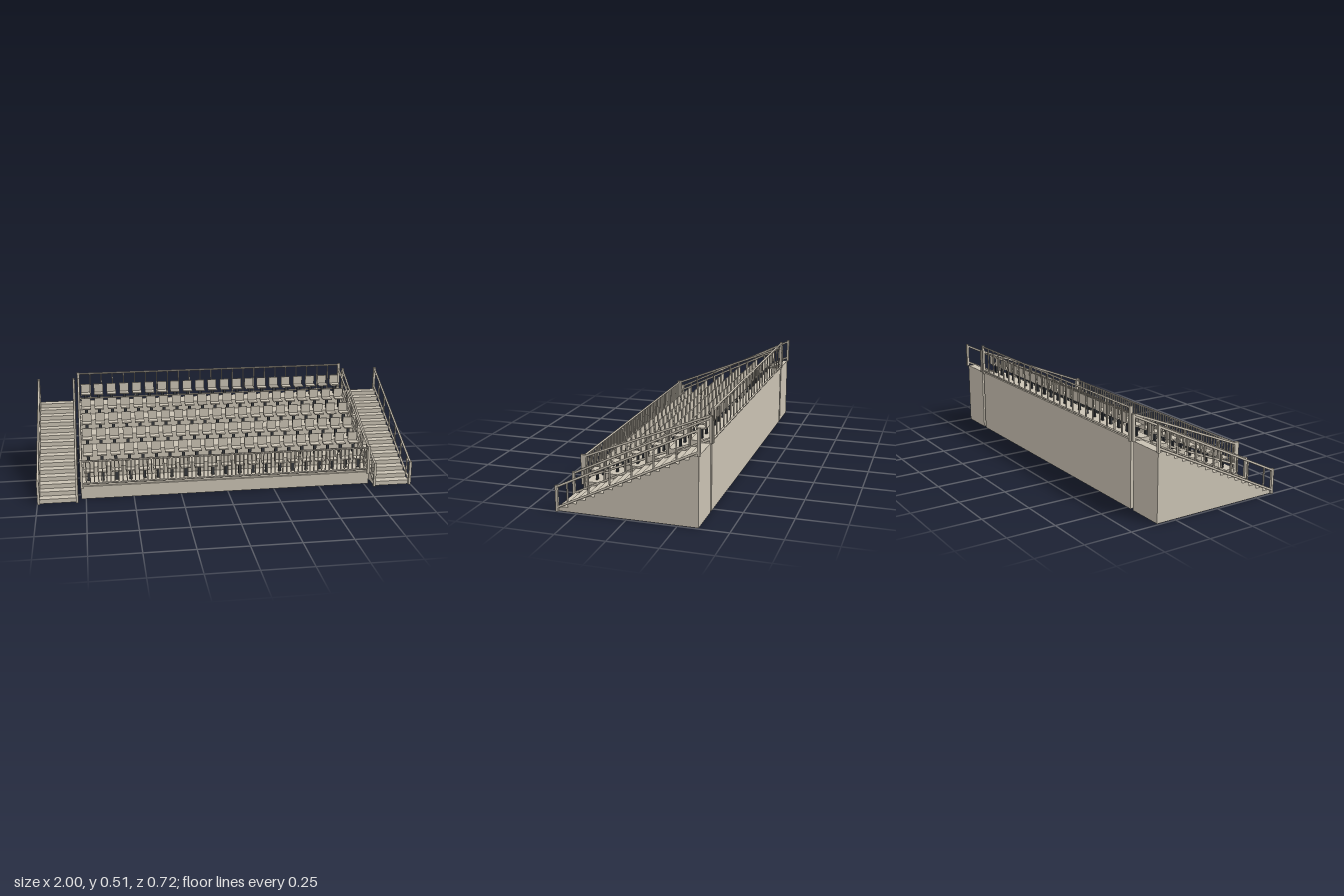
import * as THREE from 'three';

const concrete = new THREE.MeshStandardMaterial({ color: 0xcac2b3 });
concrete.name = 'warm concrete';
const darkMetal = new THREE.MeshStandardMaterial({ color: 0x34373b });
darkMetal.name = 'dark metal';

function add(parent, name, geometry, material = concrete) {
  const mesh = new THREE.Mesh(geometry, material);
  mesh.name = name;
  parent.add(mesh);
  return mesh;
}

// Box given by its minimum and maximum corners
function box(parent, name, [x0, x1], [y0, y1], [z0, z1], material) {
  const mesh = add(parent, name, new THREE.BoxGeometry(x1 - x0, y1 - y0, z1 - z0), material);
  mesh.position.set((x0 + x1) / 2, (y0 + y1) / 2, (z0 + z1) / 2);
  return mesh;
}

// Round bar between two points
function bar(parent, name, a, b, radius = 0.006) {
  const from = new THREE.Vector3(...a), to = new THREE.Vector3(...b);
  const dir = to.clone().sub(from);
  const mesh = add(parent, name, new THREE.CylinderGeometry(radius, radius, dir.length(), 8));
  mesh.position.copy(from).lerp(to, 0.5);
  mesh.quaternion.setFromUnitVectors(new THREE.Vector3(0, 1, 0), dir.normalize());
  return mesh;
}

// Stepped side profile (front to back) extruded across x
function steppedBlock(parent, name, x0, x1, edges, tops, back, bottom) {
  const shape = new THREE.Shape();
  shape.moveTo(-back, bottom);
  shape.lineTo(-edges[0], bottom);
  edges.forEach((z, i) => {
    shape.lineTo(-z, tops[i]);
    shape.lineTo(-(edges[i + 1] ?? back), tops[i]);
  });
  const geometry = new THREE.ExtrudeGeometry(shape, { depth: x1 - x0, bevelEnabled: false });
  geometry.rotateY(Math.PI / 2);
  geometry.translate(x0, 0, 0);
  return add(parent, name, geometry);
}

const ROWS = 6, SEATS = 21;
const ROW_DEPTH = 0.1085, ROW_RISE = 0.0537;
const rowZ = (i) => 0.3 - ROW_DEPTH * i;
const rowY = (i) => 0.078 + ROW_RISE * i;
const rows = [...Array(ROWS).keys()];

// Sloping side railing: two rails with uprights at every row edge
function slopedRailing(parent, x, low, high) {
  const height = (line, z) => line[1] + (line[3] - line[1]) * (z - line[0]) / (line[2] - line[0]);
  for (const line of [low, high]) {
    bar(parent, 'slopedRail', [x, line[1], line[0]], [x, line[3], line[2]]);
  }
  rows.forEach((i) => {
    const z = rowZ(i) - 0.003;
    box(parent, 'railUpright', [x - 0.0035, x + 0.0035],
      [height(low, z), height(high, z)], [z - 0.0035, z + 0.0035]);
  });
}

// Straight railing running across x
function crossRailing(parent, z, y0, y1, count, half) {
  bar(parent, 'topRail', [-half, y1, z], [half, y1, z], 0.005);
  bar(parent, 'bottomRail', [-half, y0, z], [half, y0, z], 0.005);
  for (let i = 1; i < count; i++) {
    const x = -half + (2 * half * i) / count;
    box(parent, 'baluster', [x - 0.003, x + 0.003], [y0, y1], [z - 0.003, z + 0.003]);
  }
}

function makeStand() {
  const stand = new THREE.Group();
  stand.name = 'stand';
  // Terraces with a shallow recess underneath
  steppedBlock(stand, 'terraces', -0.775, 0.775, rows.map(rowZ), rows.map(rowY), -0.35, 0.055);
  box(stand, 'frontWall', [-0.775, 0.775], [0, 0.068], [0.285, 0.31]);
  box(stand, 'backWall', [-0.775, 0.775], [0, 0.055], [-0.35, -0.33]);
  for (const s of [-1, 1]) {
    const a = s * 0.775, b = s * 0.75;
    box(stand, 'sideWall', [Math.min(a, b), Math.max(a, b)], [0, 0.055], [-0.33, 0.285]);
  }
  return stand;
}

function makeSeats() {
  const seats = new THREE.Group();
  seats.name = 'seats';
  for (const r of rows) {
    const y = rowY(r), z = rowZ(r);
    for (let c = 0; c < SEATS; c++) {
      const x = (c - (SEATS - 1) / 2) * 0.0731;
      const seat = new THREE.Group();
      seat.name = 'seat';
      seat.position.set(x, y, z);
      box(seat, 'seatPost', [-0.008, 0.008], [0, 0.051], [-0.051, -0.042], darkMetal);
      box(seat, 'seatPan', [-0.026, 0.026], [0.051, 0.058], [-0.072, -0.024]);
      box(seat, 'seatBack', [-0.026, 0.026], [0.056, 0.106], [-0.074, -0.068]);
      seats.add(seat);
    }
  }
  return seats;
}

function makeStandRailings() {
  const railings = new THREE.Group();
  railings.name = 'standRailings';
  crossRailing(railings, 0.309, 0.085, 0.207, 72, 0.767);
  crossRailing(railings, -0.352, 0.358, 0.504, 24, 0.767);
  for (const s of [-1, 1]) {
    const x = s * 0.77;
    slopedRailing(railings, x, [0.297, 0.1, -0.348, 0.365], [0.3, 0.208, -0.348, 0.475]);
    box(railings, 'frontPost', [x - 0.007, x + 0.007], [0.06, 0.217], [0.295, 0.321]);
    box(railings, 'backPost', [x - 0.007, x + 0.007], [0.34, 0.512], [-0.358, -0.345]);
  }
  return railings;
}

// Staircase along one side, with a railing on both edges
function makeStairs(side) {
  const stairs = new THREE.Group();
  stairs.name = side > 0 ? 'leftStairs' : 'rightStairs';
  const steps = [...Array(15).keys()];
  const x0 = side > 0 ? 0.797 : -0.99;
  steppedBlock(stairs, 'steps', x0, x0 + 0.193,
    steps.map((i) => 0.346 - 0.0464 * i), steps.map((i) => 0.0231 * (i + 1)), -0.35, 0);
  for (const x of [side * 0.7965, side * 0.9935]) {
    slopedRailing(stairs, x, [0.347, 0.022, -0.348, 0.366], [0.347, 0.126, -0.348, 0.468]);
    box(stairs, 'frontPost', [x - 0.0065, x + 0.0065], [0, 0.132], [0.346, 0.359]);
    box(stairs, 'backPost', [x - 0.0065, x + 0.0065], [0.346, 0.48], [-0.358, -0.345]);
  }
  return stairs;
}

export function createModel() {
  const model = new THREE.Group();
  model.name = 'grandstand';
  model.add(makeStand(), makeSeats(), makeStandRailings(), makeStairs(1), makeStairs(-1));
  return model;
}
